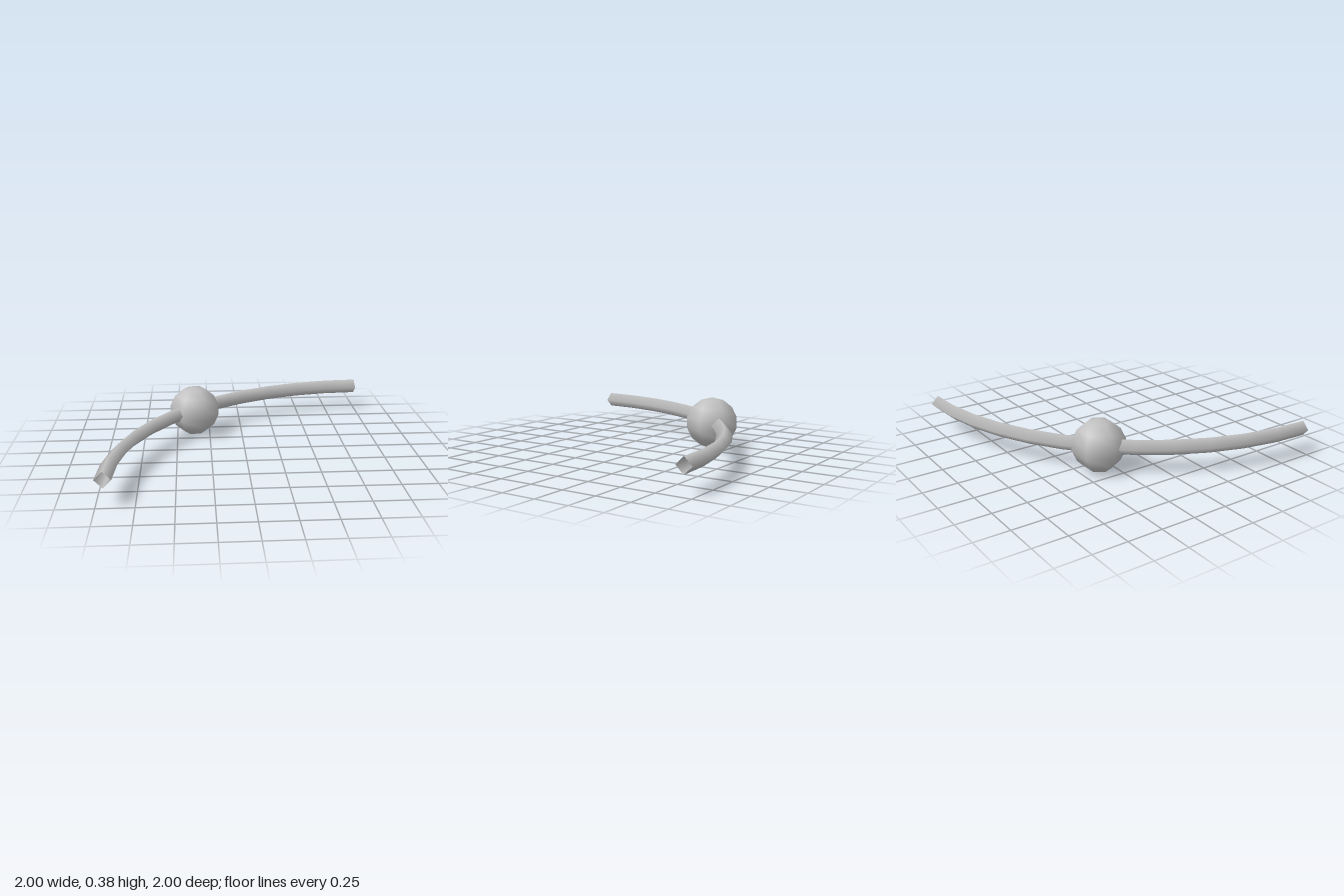
import * as THREE from 'three';

export function createModel() {
  const group = new THREE.Group();
  const grey = new THREE.MeshStandardMaterial({ color: 0xc0c0c0, side: THREE.DoubleSide });
  grey.name = 'light grey';

  const height = 0.19;
  const radius = 1.94;
  const centre = 0.996;
  const segments = 12;

  // Quarter-circle rail: open tube with a diamond cross-section
  const points = [];
  for (let i = 0; i <= segments; i++) {
    const a = (i / segments) * Math.PI / 2;
    points.push(new THREE.Vector3(centre - radius * Math.cos(a), height, centre - radius * Math.sin(a)));
  }
  const path = new THREE.CatmullRomCurve3(points);
  const rail = new THREE.Mesh(new THREE.TubeGeometry(path, segments, 0.056, 4, false), grey);
  rail.name = 'curvedRail';

  // Six-sided bead threaded on the middle of the rail
  const bead = new THREE.Mesh(new THREE.SphereGeometry(0.19, 6, 7), grey);
  bead.name = 'bead';
  bead.position.set(-0.365, height, -0.364);

  group.add(rail, bead);
  return group;
}
